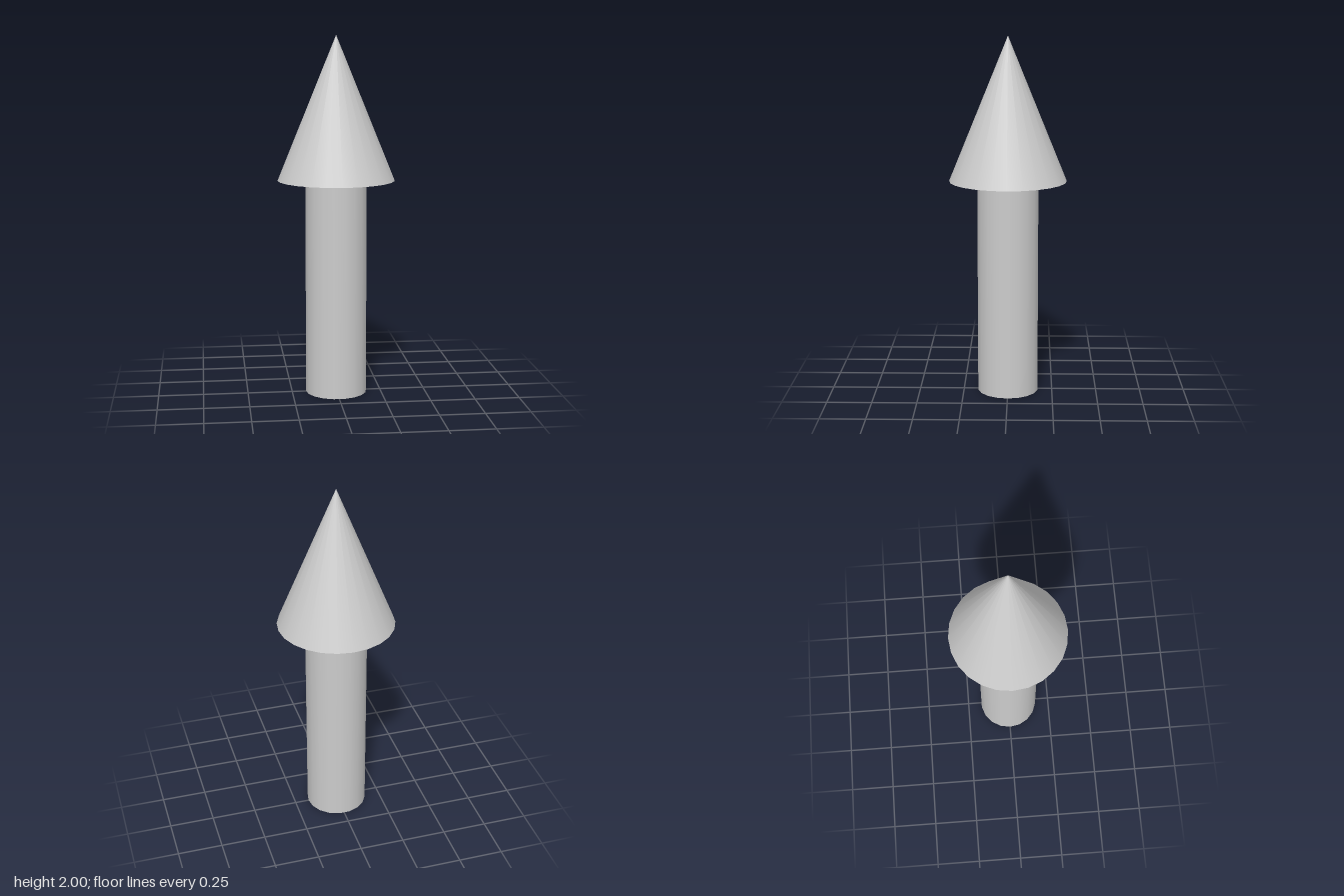
import * as THREE from 'three';

export function createModel() {
  const model = new THREE.Group();
  const material = new THREE.MeshStandardMaterial({ color: 0xcccccc });
  const neckY = 1.205;

  const addPart = (name, geometry, y) => {
    const mesh = new THREE.Mesh(geometry, material);
    mesh.name = name;
    mesh.position.y = y;
    model.add(mesh);
  };

  // Round shaft, with a corner of its outline on the x axis
  const shaft = new THREE.CylinderGeometry(0.171, 0.171, neckY, 18);
  shaft.rotateY(Math.PI / 2);
  addPart('shaft', shaft, neckY / 2);

  // Pointed head with a flat underside
  const headHeight = 2 - neckY;
  addPart('head', new THREE.ConeGeometry(0.325, headHeight, 24), neckY + headHeight / 2);

  return model;
}
